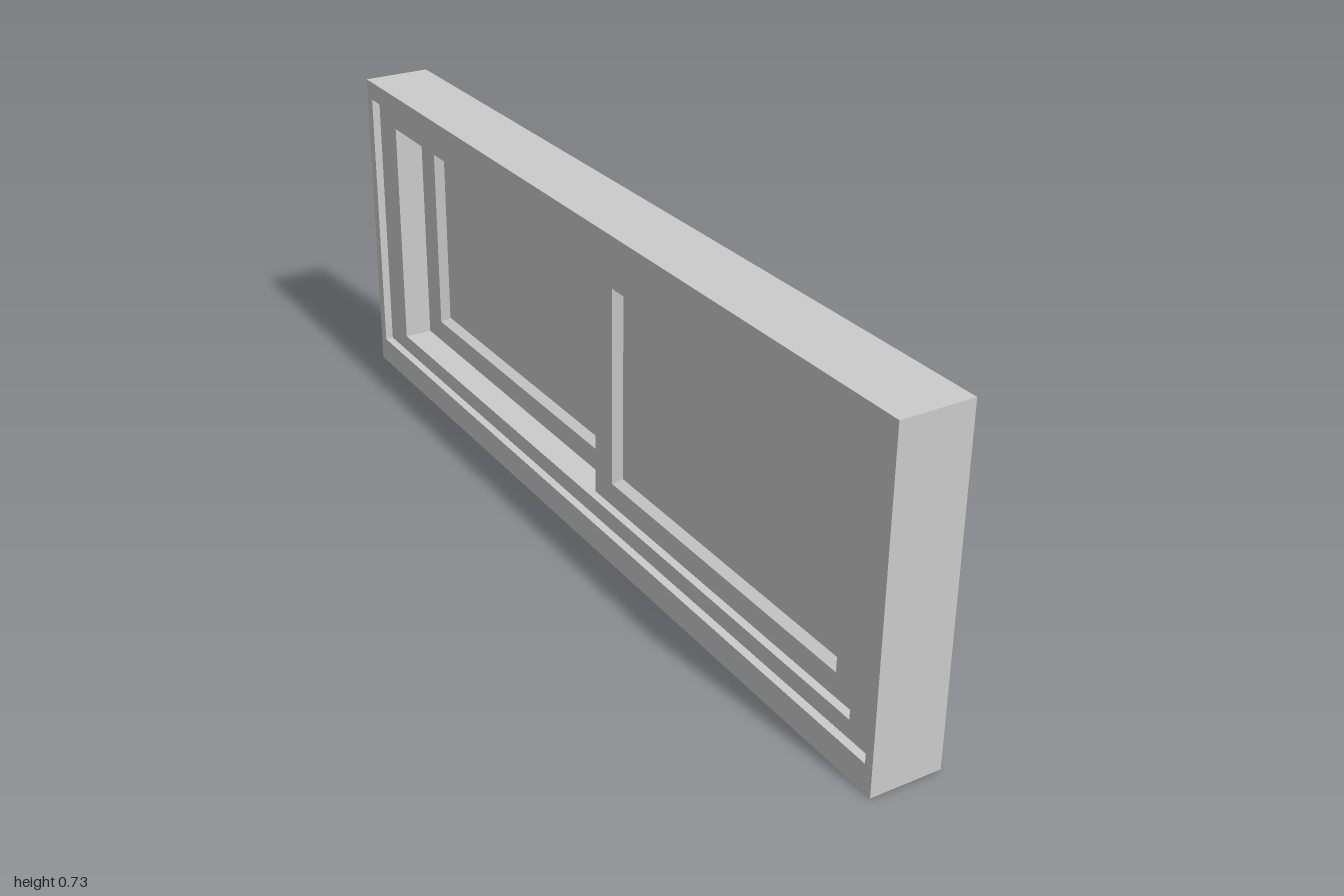
import * as THREE from 'three';

const material = new THREE.MeshStandardMaterial({ color: 0xcccccc, flatShading: true });

// Rectangular loop in the plane of the window, at depth x
const rect = (x, z0, z1, y0, y1) => [[x, y0, z0], [x, y0, z1], [x, y1, z1], [x, y1, z0]];

// Closed mitred ring: each rectangle is bridged to the next, the last to the first
function ring(name, loops) {
  const pos = [];
  loops.forEach((loop, i) => {
    const next = loops[(i + 1) % loops.length];
    for (let j = 0; j < 4; j++) {
      const k = (j + 1) % 4;
      pos.push(...loop[j], ...loop[k], ...next[k], ...loop[j], ...next[k], ...next[j]);
    }
  });
  const geometry = new THREE.BufferGeometry();
  geometry.setAttribute('position', new THREE.Float32BufferAttribute(pos, 3));
  geometry.computeVertexNormals();
  const mesh = new THREE.Mesh(geometry, material);
  mesh.name = name;
  return mesh;
}

// Sash with bevelled rails on both faces and a thin pane in the middle
function sash(name, x, z0, z1) {
  const group = new THREE.Group();
  group.name = name;
  const t = 0.0225, g = 0.002, m = 0.067, b = 0.01;
  const y0 = 0.099, y1 = 0.634, o0 = 0.15, o1 = 0.588;
  const outer = (d) => rect(x + d, z0, z1, y0, y1);
  const opening = (d, inset) =>
    rect(x + d, z0 + m + inset, z1 - m - inset, o0 + inset, o1 - inset);
  group.add(ring('sashRails', [
    outer(t), outer(-t), opening(-t, 0), opening(-g, b), opening(g, b), opening(t, 0),
  ]));
  const pane = new THREE.Mesh(
    new THREE.BoxGeometry(2 * g, o1 - o0 - 2 * b, z1 - z0 - 2 * (m + b)), material);
  pane.name = 'pane';
  pane.position.set(x, (o0 + o1) / 2, (z0 + z1) / 2);
  group.add(pane);
  return group;
}

export function createModel() {
  const model = new THREE.Group();
  model.name = 'slidingWindow';
  const h = 0.077, H = 0.727, step = -0.059;

  // Outer frame with a shallow rebate around the opening on the -x face
  const outer = (x) => rect(x, -1, 1, 0, H);
  const rebate = (x) => rect(x, -0.975, 0.98, 0.06, H - 0.043);
  const opening = (x) => rect(x, -0.888, 0.909, 0.099, 0.634);
  model.add(ring('outerFrame', [
    outer(h), outer(-h), rebate(-h), rebate(step), opening(step), opening(h),
  ]));

  // Two sashes on neighbouring tracks
  model.add(sash('outerTrackSash', 0.0275, -0.888, 0.01));
  model.add(sash('innerTrackSash', -0.0185, 0.008, 0.909));
  return model;
}
